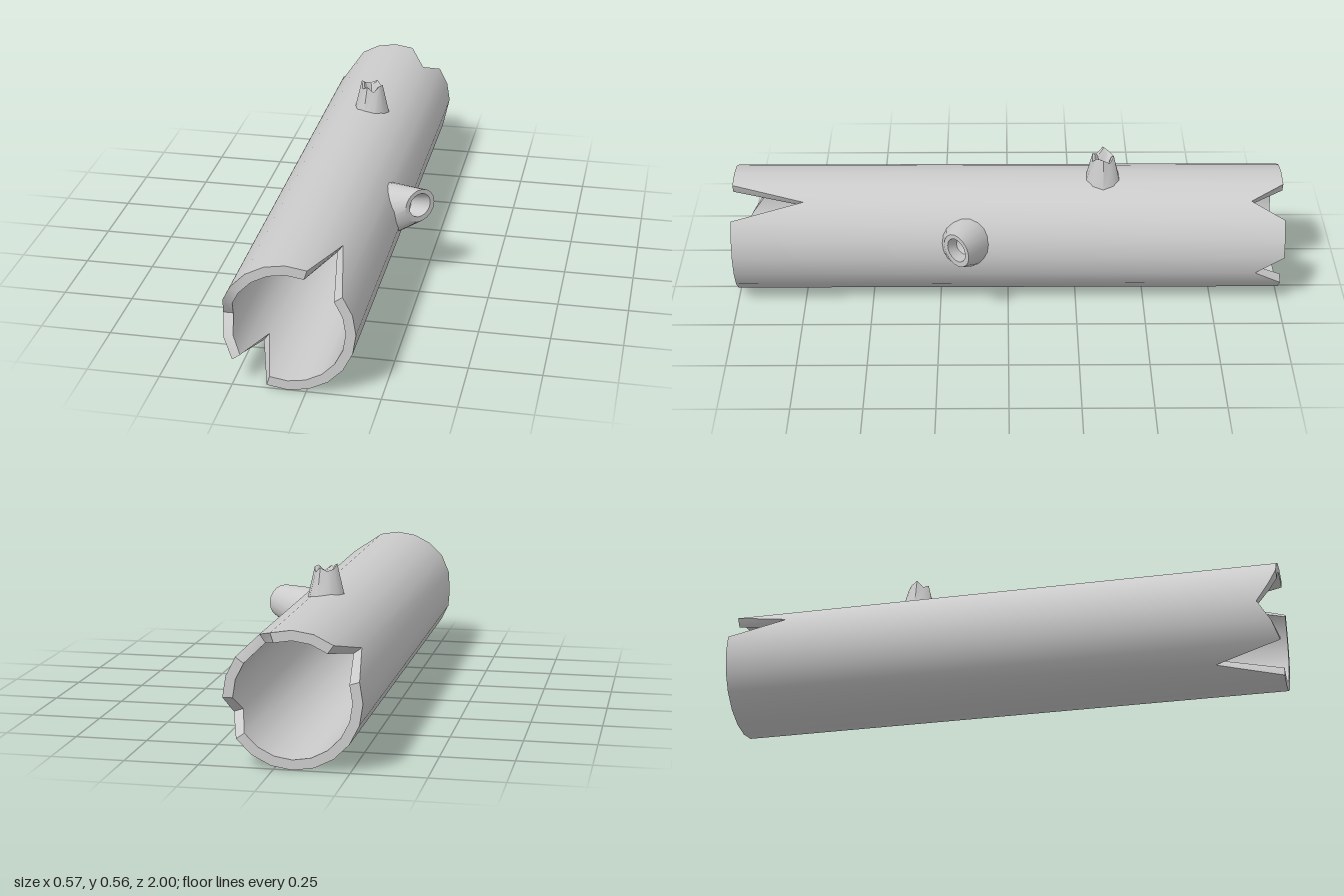
import * as THREE from 'three';
import { toCreasedNormals } from 'three/addons/utils/BufferGeometryUtils.js';

const V = (x, y, z) => new THREE.Vector3(x, y, z);
const material = new THREE.MeshStandardMaterial({ color: 0xcccccc });

// Ring of n points around a normal; shift(i) moves point i along the normal
function ring(centre, normal, radius, n, hint, shift = () => 0) {
  const w = normal.clone().normalize();
  const u = hint.clone().cross(w).normalize();
  const v = w.clone().cross(u);
  return Array.from({ length: n }, (_, i) => {
    const a = (i / n) * Math.PI * 2;
    return centre.clone()
      .addScaledVector(u, Math.cos(a) * radius)
      .addScaledVector(v, Math.sin(a) * radius)
      .addScaledVector(w, shift(i));
  });
}

// Skin through successive rings, with sharp edges kept
function loft(name, rings, crease = 0.6) {
  const n = rings[0].length;
  const index = [];
  for (let r = 0; r < rings.length - 1; r++) {
    for (let i = 0; i < n; i++) {
      const j = (i + 1) % n;
      const a = r * n + i, b = r * n + j, c = a + n, d = b + n;
      index.push(a, b, d, a, d, c);
    }
  }
  const geometry = new THREE.BufferGeometry().setFromPoints(rings.flat());
  geometry.setIndex(index);
  const mesh = new THREE.Mesh(toCreasedNormals(geometry, crease), material);
  mesh.name = name;
  return mesh;
}

// Hollow trunk along z, its ends split by V-shaped cracks
function trunk() {
  const sides = 20;
  // crack depth by side number (18 degrees each)
  const frontCracks = { 3: 0.26, 9: 0.025, 10: 0.07, 11: 0.025, 13: 0.23 };
  const backCracks = { 3: 0.12, 8: 0.21, 19: 0.1 };
  const centre = z => V(-0.0625, 0.229, z);
  const end = (z, radius, cracks) =>
    ring(centre(z), V(0, 0, 1), radius, sides, V(0, 1, 0),
      i => -Math.sign(z) * (cracks[i] || 0));
  const outerBack = end(-1, 0.229, backCracks);
  const outerFront = end(1, 0.229, frontCracks);
  const innerFront = end(1, 0.195, frontCracks);
  const innerBack = end(-1, 0.195, backCracks);
  return loft('hollowTrunk', [outerBack, outerFront, innerFront, innerBack, outerBack], 0.5);
}

// Short broken stub on top with a jagged rim
function topStub() {
  const n = 10, up = V(0, 1, 0), hint = V(0, 0, 1);
  const teeth = [0.018, -0.008, 0.006, -0.014, 0.008, 0.004, -0.012, 0.008, -0.004, 0.002];
  const jag = i => teeth[i];
  return loft('topStub', [
    ring(V(-0.038, 0.435, -0.345), up, 0.067, n, hint),
    ring(V(-0.036, 0.54, -0.345), up, 0.04, n, hint, jag),
    ring(V(-0.036, 0.535, -0.345), up, 0.031, n, hint, jag),
    ring(V(-0.036, 0.5, -0.345), up, 0.018, n, hint),
    ring(V(-0.036, 0.495, -0.345), up, 0.0001, n, hint),
  ], 0.7);
}

// Side branch stub, bent to the front, with a hollow cut end
function sideStub() {
  const n = 18, hint = V(0, 1, 0);
  const base = V(0.97, 0.24, 0), cut = V(1, 0, 1);
  return loft('sideStub', [
    ring(V(0.128, 0.278, 0.15), base, 0.095, n, hint),
    ring(V(0.238, 0.311, 0.185), cut, 0.063, n, hint),
    ring(V(0.238, 0.313, 0.185), cut, 0.045, n, hint),
    ring(V(0.18, 0.295, 0.155), V(1, 0.1, 0.5), 0.035, n, hint),
    ring(V(0.165, 0.29, 0.15), V(1, 0.1, 0.5), 0.0001, n, hint),
  ]);
}

export function createModel() {
  const group = new THREE.Group();
  group.name = 'hollowLog';
  group.add(trunk(), topStub(), sideStub());
  return group;
}
